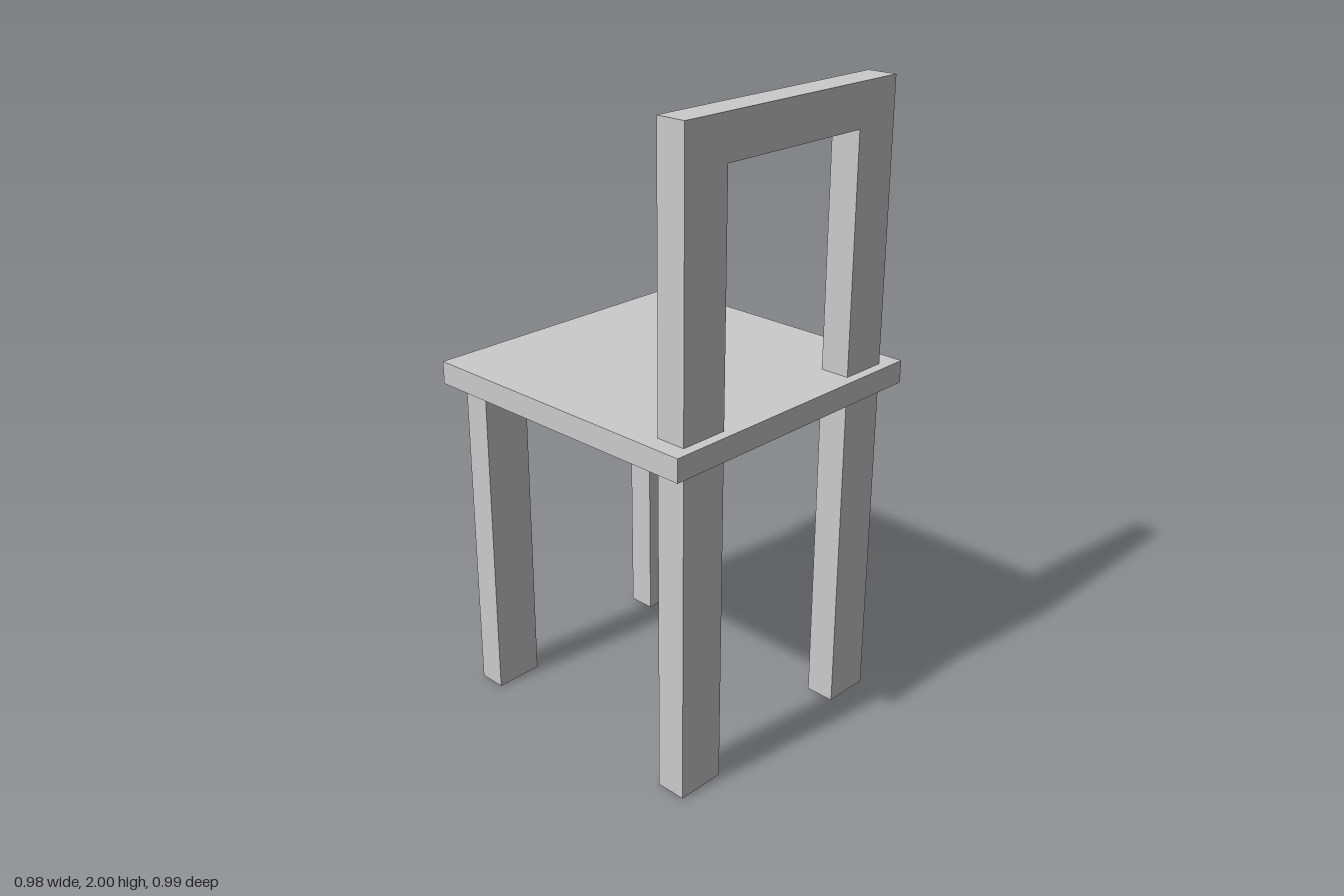
import * as THREE from 'three';

const material = new THREE.MeshStandardMaterial({ color: 0xcccccc, flatShading: true });

// Box given by its min and max on each axis
function box(name, [x0, x1], [y0, y1], [z0, z1]) {
  const mesh = new THREE.Mesh(new THREE.BoxGeometry(x1 - x0, y1 - y0, z1 - z0), material);
  mesh.position.set((x0 + x1) / 2, (y0 + y1) / 2, (z0 + z1) / 2);
  mesh.name = name;
  return mesh;
}

export function createModel() {
  const chair = new THREE.Group();
  chair.name = 'chair';

  const seatBottom = 1.06, seatTop = 1.132, railBottom = 1.868, top = 2;
  const sides = { right: [-0.432, -0.274], left: [0.265, 0.42] };
  const backrestZ = [0.367, 0.463], oppositeZ = [-0.458, -0.368];

  // Seat slab
  chair.add(box('seat', [-0.488, 0.488], [seatBottom, seatTop], [-0.495, 0.495]));

  // Four legs
  for (const [side, x] of Object.entries(sides)) {
    chair.add(box(`${side}BackrestLeg`, x, [0, seatBottom], backrestZ));
    chair.add(box(`${side}OppositeLeg`, x, [0, seatBottom], oppositeZ));
  }

  // Backrest: an upside-down U cut from one board
  const [outerR, innerR] = sides.right, [innerL, outerL] = sides.left;
  const outline = new THREE.Shape([
    [outerR, seatTop], [innerR, seatTop], [innerR, railBottom], [innerL, railBottom],
    [innerL, seatTop], [outerL, seatTop], [outerL, top], [outerR, top],
  ].map(([x, y]) => new THREE.Vector2(x, y)));
  const backrest = new THREE.Mesh(
    new THREE.ExtrudeGeometry(outline, { depth: backrestZ[1] - backrestZ[0], bevelEnabled: false }),
    material,
  );
  backrest.position.z = backrestZ[0];
  backrest.name = 'backrest';
  chair.add(backrest);

  return chair;
}
